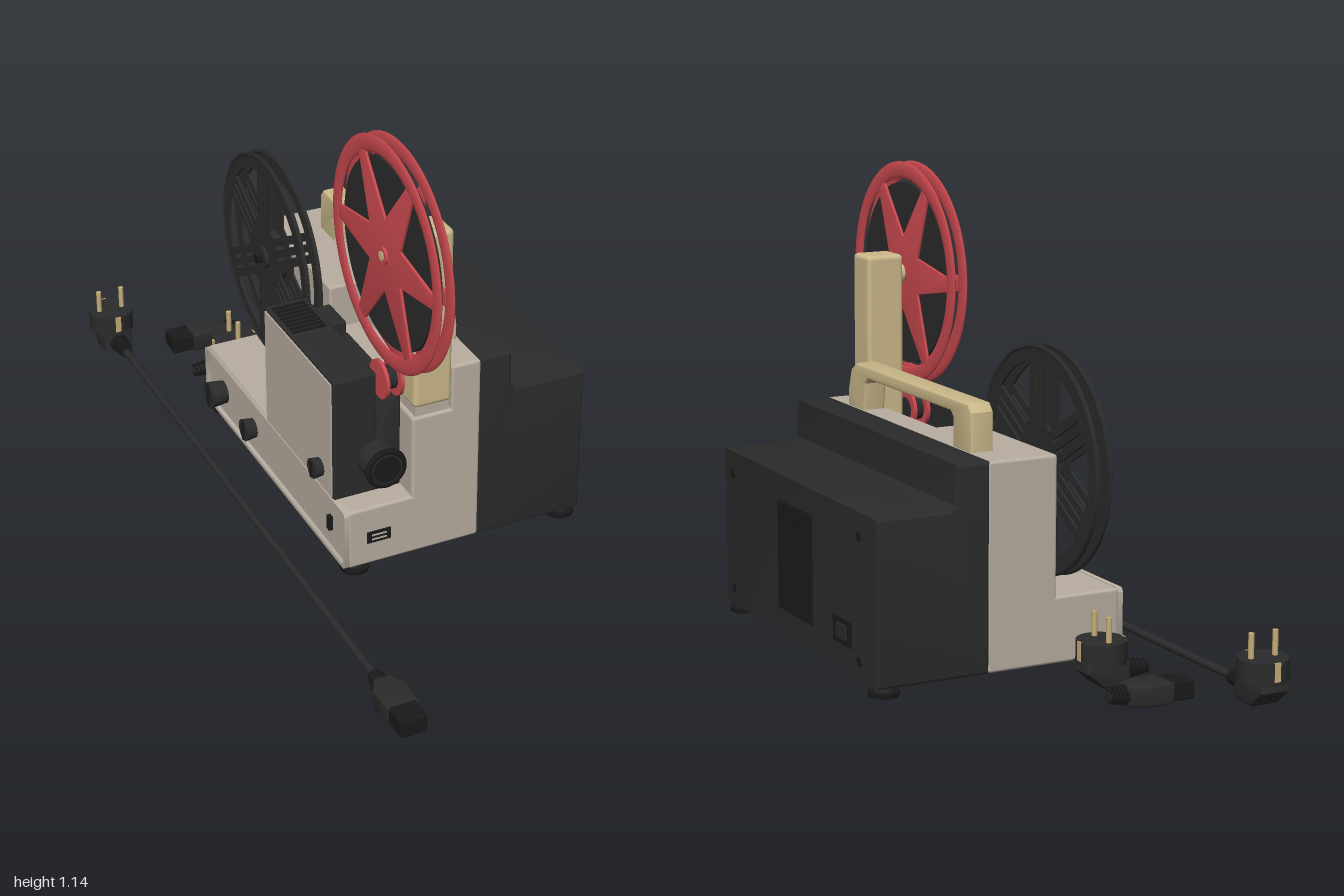
import * as THREE from 'three';
import { toCreasedNormals } from 'three/addons/utils/BufferGeometryUtils.js';
import { RoundedBoxGeometry } from 'three/addons/geometries/RoundedBoxGeometry.js';

const paint = (name, color) => Object.assign(new THREE.MeshStandardMaterial({ color }), { name });
const beige = paint('warm grey', 0xb8ada0);
const dark = paint('charcoal', 0x2b2b2c);
const black = paint('black', 0x1a1a1b);
const tan = paint('tan', 0xcbb98a);
const red = paint('red', 0xc9494f);
const brass = paint('pin brass', 0xc4ad78);

function add(parent, name, geo, mat, x = 0, y = 0, z = 0) {
  const m = new THREE.Mesh(geo, mat);
  m.name = name;
  m.position.set(x, y, z);
  parent.add(m);
  return m;
}
function group(parent, name, x = 0, y = 0, z = 0) {
  const g = new THREE.Group();
  g.name = name;
  g.position.set(x, y, z);
  parent.add(g);
  return g;
}
// Box given by its limits, with rounded edges when r > 0
function box(parent, name, mat, [x0, x1], [y0, y1], [z0, z1], r = 0) {
  const s = [x1 - x0, y1 - y0, z1 - z0];
  const geo = r ? new RoundedBoxGeometry(...s, 3, r) : new THREE.BoxGeometry(...s);
  return add(parent, name, geo, mat, (x0 + x1) / 2, (y0 + y1) / 2, (z0 + z1) / 2);
}
const poly = pts => new THREE.Shape(pts.map(p => new THREE.Vector2(...p)));
function extrude(shape, depth, bevel = 0) {
  const geo = new THREE.ExtrudeGeometry(shape, {
    depth: depth - 2 * bevel, curveSegments: 32, bevelEnabled: bevel > 0,
    bevelSize: bevel, bevelThickness: bevel, bevelOffset: -bevel, bevelSegments: 3,
  });
  geo.translate(0, 0, -depth / 2 + bevel);
  return toCreasedNormals(geo, 0.6);
}
// Shape drawn as (-z, y), extruded along x
const extrudeX = (shape, depth, bevel) => extrude(shape, depth, bevel).rotateY(Math.PI / 2);
const cylX = (r, len, r2 = r, n = 32) => new THREE.CylinderGeometry(r, r2, len, n).rotateZ(Math.PI / 2);
const cylZ = (r, len, r2 = r, n = 40) => new THREE.CylinderGeometry(r, r2, len, n).rotateX(Math.PI / 2);

function roundRect(x0, x1, y0, y1, r, T = THREE.Shape) {
  const s = new T();
  s.absarc(x1 - r, y0 + r, r, -Math.PI / 2, 0);
  s.absarc(x1 - r, y1 - r, r, 0, Math.PI / 2);
  s.absarc(x0 + r, y1 - r, r, Math.PI / 2, Math.PI);
  s.absarc(x0 + r, y0 + r, r, Math.PI, Math.PI * 1.5);
  s.closePath();
  return s;
}

// Full reel: rounded rims, six-pointed star spokes, wound film
function redReel(root) {
  const g = group(root, 'frontReel', -0.095, 0.855, 0.33);
  const pts = [];
  for (let i = 0; i < 6; i++) {
    const a = i * Math.PI / 3, b = a + Math.PI / 6;
    for (const d of [-0.07, 0.07]) pts.push([0.256 * Math.cos(a + d), 0.256 * Math.sin(a + d)]);
    pts.push([0.095 * Math.cos(b), 0.095 * Math.sin(b)]);
  }
  const star = extrudeX(poly(pts), 0.007, 0.002);
  const rim = new THREE.TorusGeometry(0.268, 0.022, 12, 72).scale(1, 1, 0.25).rotateY(Math.PI / 2);
  for (const s of [-1, 1]) {
    add(g, 'reelRim', rim, red, s * 0.0165);
    add(g, 'reelStar', star, red, s * 0.0165);
    add(g, 'reelHub', cylX(0.022, 0.012), red, s * 0.021);
    add(g, 'hubHole', cylX(0.011, 0.002), black, s * 0.0275);
  }
  add(g, 'woundFilm', cylX(0.236, 0.026, 0.236, 72), dark);
  add(g, 'reelSpindle', cylX(0.012, 0.075), tan, 0.008);
  add(g, 'spindleCollar', cylX(0.026, 0.016), tan, 0.033);
}

// Empty reel: flanges with windows between slotted spokes
function blackReel(root) {
  const g = group(root, 'rearReel', -0.095, 0.495, -0.39);
  const face = new THREE.Shape().absarc(0, 0, 0.28, 0, Math.PI * 2);
  for (let i = 0; i < 6; i++) {
    const c = i * Math.PI / 3, s = c + Math.PI / 6;
    const half = r => Math.PI / 6 - Math.asin(0.04 / r);
    const win = new THREE.Path();
    win.absarc(0, 0, 0.238, c - half(0.238), c + half(0.238), false);
    win.absarc(0, 0, 0.1, c + half(0.1), c - half(0.1), true);
    win.closePath();
    face.holes.push(win);
    for (const o of [-0.014, 0.014]) {
      const at = (r, w) => new THREE.Vector2(r * Math.cos(s) - w * Math.sin(s), r * Math.sin(s) + w * Math.cos(s));
      face.holes.push(new THREE.Path([at(0.09, o - 0.004), at(0.23, o - 0.004), at(0.23, o + 0.004), at(0.09, o + 0.004)]));
    }
  }
  const flange = extrudeX(face, 0.006);
  const rim = new THREE.TorusGeometry(0.274, 0.006, 8, 72).rotateY(Math.PI / 2);
  for (const s of [-1, 1]) {
    add(g, 'reelFlange', flange, dark, s * 0.017);
    add(g, 'reelRim', rim, dark, s * 0.017);
  }
  add(g, 'reelCore', cylX(0.07, 0.03), dark);
  add(g, 'reelHub', cylX(0.03, 0.06), dark);
  add(g, 'reelSpindle', cylX(0.012, 0.11), black, 0.01);
}

// Strain relief running from z0 towards z1
function relief(g, z0, z1) {
  for (let i = 0; i < 5; i++) {
    const t = (i + 0.5) / 5;
    add(g, 'strainRelief', cylZ(0.026 - 0.01 * t, Math.abs(z1 - z0) / 8, undefined, 16), black, 0, 0.035, z0 + (z1 - z0) * t);
  }
  add(g, 'reliefCore', cylZ(0.012, Math.abs(z1 - z0), 0.012, 12), dark, 0, 0.035, (z0 + z1) / 2);
}
// Angled two-pin plug, cable leaving towards +z
function plug(root, x, z, turn) {
  const g = group(root, 'mainsPlug', x, 0, z);
  g.rotation.y = turn;
  add(g, 'plugDisc', new THREE.CylinderGeometry(0.061, 0.061, 0.055, 32), dark, 0, 0.0875);
  add(g, 'plugBody', extrudeX(poly([[-0.06, 0.008], [0.01, 0.004], [0.058, 0.045], [0.055, 0.065], [-0.055, 0.065]]), 0.08, 0.006), dark);
  relief(g, 0.055, 0.125);
  for (const s of [-1, 1]) {
    add(g, 'plugPin', new THREE.CylinderGeometry(0.007, 0.007, 0.06, 12), brass, s * 0.033, 0.145);
    box(g, 'earthClip', brass, [-0.008, 0.008], [0.07, 0.1155], [s * 0.0595 - 0.002, s * 0.0595 + 0.002]);
  }
}
// Appliance connector, open end at local z = 0, cable leaving towards -z
function connector(root, x, z, turn) {
  const g = group(root, 'applianceConnector', x, 0, z);
  g.rotation.y = turn;
  box(g, 'connectorNose', black, [-0.034, 0.034], [0.011, 0.057], [-0.07, 0], 0.005);
  const body = poly([[-0.041, -0.06], [0.041, -0.06], [0.041, -0.13], [0.02, -0.17], [-0.02, -0.17], [-0.041, -0.13]].map(([a, b]) => [a, -b]));
  add(g, 'connectorBody', extrude(body, 0.05, 0.005).rotateX(-Math.PI / 2), dark, 0, 0.034);
  relief(g, -0.165, -0.21);
}

export function createModel() {
  const root = new THREE.Group();
  root.name = 'filmProjector';

  // Dark stepped housing
  const shell = poly([[0.12, 0.025], [0.413, 0.025], [0.413, 0.428], [0.222, 0.428], [0.211, 0.44], [0.207, 0.535], [0.12, 0.535]]);
  add(root, 'darkHousing', extrude(shell, 0.893, 0.008), dark, 0, 0, -0.069);

  // Beige body: wall, front pocket and base
  box(root, 'bodyWall', beige, [0.045, 0.125], [0.025, 0.535], [-0.515, 0.377], 0.008);
  box(root, 'bodyRear', beige, [-0.06, 0.06], [0.03, 0.535], [-0.515, -0.1], 0.008);
  box(root, 'bodyFront', beige, [-0.06, 0.06], [0.03, 0.415], [-0.12, 0.377], 0.008);
  box(root, 'base', beige, [-0.232, 0.12], [0.025, 0.19], [-0.515, 0.377], 0.008);
  const frame = roundRect(-0.377, 0.515, 0.025, 0.19, 0.012);
  frame.holes.push(roundRect(-0.367, 0.505, 0.035, 0.18, 0.01, THREE.Path));
  add(root, 'controlPanelFrame', extrudeX(frame, 0.014), beige, -0.236);

  // Lamp and lens head
  box(root, 'lampHead', dark, [-0.24, -0.125], [0.188, 0.525], [-0.1, 0.31], 0.006);
  box(root, 'headSidePanel', beige, [-0.244, -0.238], [0.196, 0.517], [-0.092, 0.302]);
  box(root, 'filmGuideRear', dark, [-0.126, -0.06], [0.188, 0.49], [-0.1, 0], 0.005);
  const gate = poly([[-0.13, 0.188], [-0.06, 0.188], [-0.06, 0.46], [-0.08, 0.45], [-0.13, 0.34]]);
  add(root, 'filmGate', extrude(gate, 0.31, 0.005), dark, 0, 0, 0.155);
  for (let i = 0; i < 8; i++) {
    const z = -0.08 + i * 0.018;
    box(root, 'headVent', black, [-0.23, -0.14], [0.522, 0.529], [z, z + 0.009]);
  }
  add(root, 'lensBarrel', cylZ(0.05, 0.07), dark, -0.125, 0.285, 0.335);
  add(root, 'lensRing', new THREE.TorusGeometry(0.047, 0.008, 10, 40), black, -0.125, 0.285, 0.365);
  add(root, 'lensGlass', cylZ(0.036, 0.004), black, -0.125, 0.285, 0.371);

  // Red feed rollers below the front reel
  for (const x of [-0.111, -0.073]) add(root, 'feedRoller', cylX(0.05, 0.009), red, x, 0.5, 0.3);
  add(root, 'feedRollerCore', cylX(0.03, 0.05), dark, -0.09, 0.5, 0.3);

  // Reel arm and carrying handle
  box(root, 'reelArm', tan, [-0.056, 0.046], [0.44, 0.91], [0.285, 0.377], 0.012);
  box(root, 'reelArmFoot', beige, [-0.05, 0.04], [0.41, 0.445], [0.285, 0.37]);
  const handle = poly([[-0.262, 0.53], [-0.262, 0.575], [-0.245, 0.63], [-0.215, 0.65], [0.395, 0.65], [0.412, 0.63], [0.412, 0.53],
    [0.318, 0.53], [0.318, 0.605], [0.305, 0.618], [-0.145, 0.618], [-0.162, 0.605], [-0.172, 0.53]]);
  add(root, 'carryHandle', extrudeX(handle, 0.06, 0.006), tan, 0.086);

  redReel(root);
  blackReel(root);

  // Control knobs on the model's right side
  for (const [y, z, r, x] of [[0.1, -0.41, 0.036, -0.278], [0.1, -0.21, 0.03, -0.262], [0.25, 0.24, 0.026, -0.268]]) {
    add(root, 'knob', cylX(r, -0.23 - x, r * 0.85), dark, (x - 0.23) / 2, y, z);
    box(root, 'knobGrip', black, [x - 0.003, x + 0.01], [y - r * 0.9, y + r * 0.9], [z - 0.005, z + 0.005]);
  }
  box(root, 'panelSwitch', black, [-0.242, -0.23], [0.085, 0.125], [0.27, 0.285]);

  // Front socket
  box(root, 'frontSocket', black, [-0.182, -0.118], [0.088, 0.12], [0.374, 0.38]);
  for (const y of [0.098, 0.11]) box(root, 'socketSlot', beige, [-0.17, -0.13], [y - 0.002, y + 0.002], [0.378, 0.382]);

  // Vent grille, power inlet and screws on the dark housing
  for (let i = 0; i < 11; i++) {
    const z = -0.155 + i * 0.0175;
    box(root, 'ventSlat', black, [0.41, 0.419], [0.092, 0.362], [z, z + 0.01]);
  }
  box(root, 'ventBack', black, [0.41, 0.4145], [0.09, 0.364], [-0.16, 0.032]);
  box(root, 'powerInlet', black, [0.41, 0.417], [0.09, 0.152], [-0.38, -0.283]);
  box(root, 'inletCore', dark, [0.412, 0.42], [0.102, 0.14], [-0.36, -0.303], 0.003);
  for (const y of [0.07, 0.37]) for (const z of [0.325, -0.42])
    add(root, 'screw', cylX(0.012, 0.006, 0.012, 16), black, 0.412, y, z);

  // Feet
  for (const x of [-0.2, 0.378]) for (const z of [0.342, -0.477]) {
    add(root, 'foot', new THREE.CylinderGeometry(0.038, 0.036, 0.012, 28), black, x, 0.006, z);
    add(root, 'footStem', new THREE.CylinderGeometry(0.024, 0.024, 0.02, 20), dark, x, 0.018, z);
  }

  // Power cable with plug and connector, plus loose ends
  add(root, 'cable', cylZ(0.01, 1.63, 0.01, 14), dark, -0.36, 0.035, -0.01);
  plug(root, -0.36, -0.938, 0);
  connector(root, -0.36, 1, 0);
  plug(root, -0.105, -0.648, -Math.PI / 2);
  connector(root, -0.23, -0.823, -Math.PI / 2);
  return root;
}
